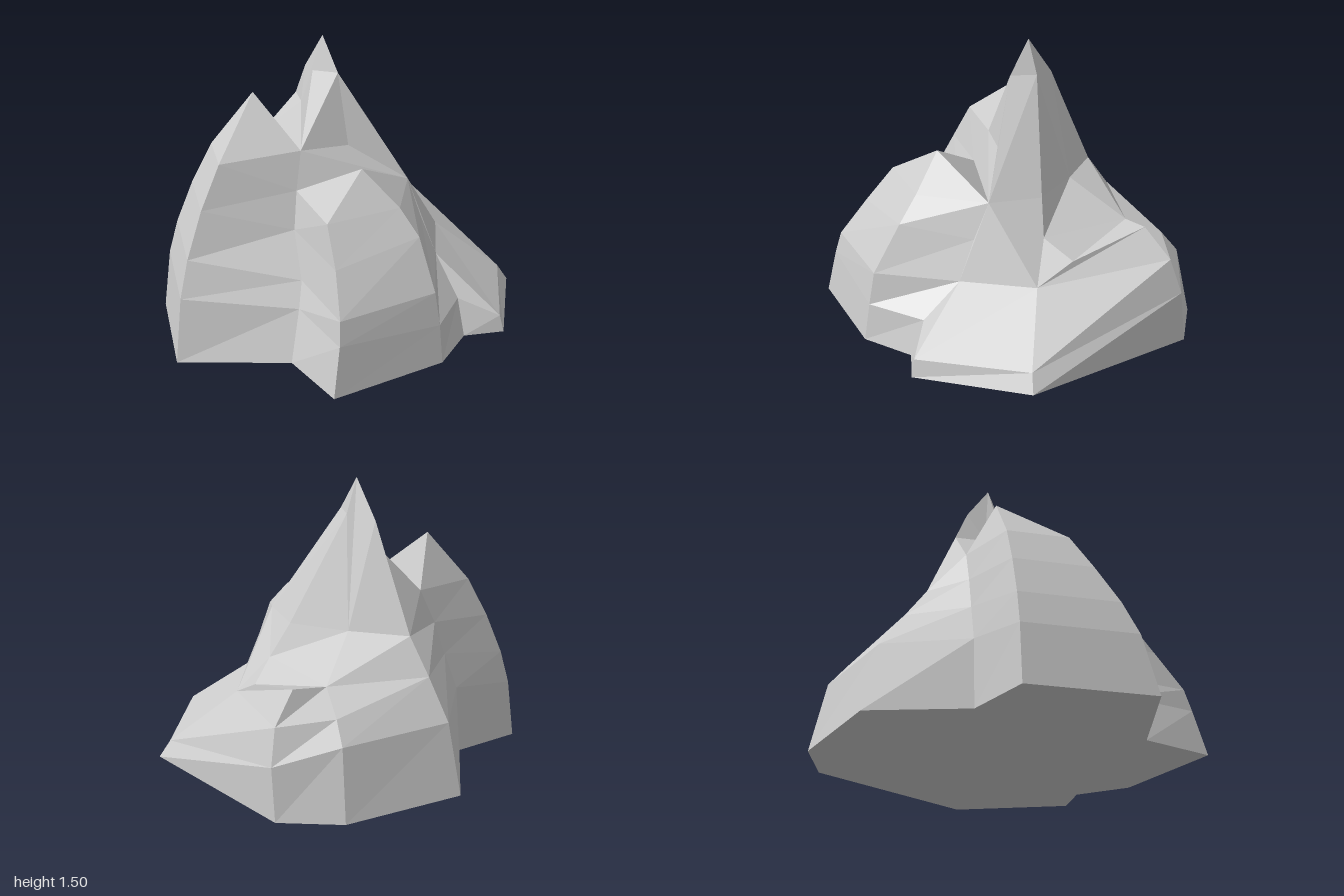
import * as THREE from 'three';

// Shared corner points where the rock faces meet
const P = {
  summit: [-0.09, 1.5, -0.13],
  summitLeft: [-0.15, 1.32, -0.1],
  summitRight: [-0.03, 1.32, -0.03],
  summitEast: [-0.03, 1.32, -0.17],
  finTop: [-0.46, 1.2, -0.17],
  saddleFront: [-0.25, 0.94, 0.07],
  saddleBack: [-0.39, 0.93, -0.31],
  notch: [-0.2, 1.13, -0.17],
  ridgeHigh: [-0.16, 1.3, -0.26],
  ridgeMid: [-0.2, 1.13, -0.33],
  ridgeLow: [-0.29, 0.75, -0.49],
  peakFoot: [0.01, 0.94, 0.04],
  knollTop: [0.01, 0.93, 0.36],
  troughLeft: [-0.29, 0.75, 0.15],
  troughRight: [0.32, 0.75, 0.11],
  ledgeBack: [0, 0.75, -0.35],
  ledgeSide: [0.27, 0.75, -0.17],
  step: [0.38, 0.57, -0.17],
  shoulderInner: [0.17, 0.57, -0.63],
  shoulderTop: [0.35, 0.6, -0.7],
  shoulderSide: [0.48, 0.48, -0.31],
  fold: [0.44, 0.37, 0.27],
  spurTop: [0.55, 0.37, -0.12],
};

// Ridge and valley lines, each running from the ground upward
const finCurve = [[-0.98, 0], [-0.94, 0.32], [-0.89, 0.5], [-0.8, 0.72], [-0.69, 0.93]];
const finDepth = [0.48, 0.41, 0.34, 0.24, 0.15];
const finBack = [...finCurve.map(([x, y]) => [x, y, -0.17]), P.finTop];
const finFront = [...finCurve.map(([x, y], i) => [x, y, finDepth[i]]), P.finTop];
const gully = [[-0.41, 0, 0.61], [-0.35, 0.25, 0.51], [-0.32, 0.37, 0.43], [-0.32, 0.57, 0.24], P.troughLeft];
const knollLeft = [[-0.27, 0, 0.99], [-0.23, 0.25, 0.935], [-0.22, 0.37, 0.9], [-0.21, 0.57, 0.75], [-0.22, 0.75, 0.6], P.knollTop];
const knollRight = [[0.34, 0, 0.77], [0.33, 0.2, 0.74], [0.31, 0.37, 0.71], [0.26, 0.62, 0.57], [0.18, 0.75, 0.48], P.knollTop];
const crease = [[0.53, 0, 0.53], [0.51, 0.19, 0.46], P.fold];
const spurFront = [[0.75, 0, 0.53], [0.73, 0.09, 0.515], P.fold];
const spurSide = [[0.97, 0, -0.06], [0.91, 0.09, -0.06], P.spurTop];
const shoulderRidge = [[0.48, 0, -0.91], [0.49, 0.28, -0.88], [0.46, 0.46, -0.82]];
const backRidge = [[0.15, 0, -1], [0.15, 0.37, -0.92], [0.16, 0.48, -0.83]];
const peakRidge = [[-0.48, 0, -0.82], [-0.43, 0.37, -0.74], [-0.36, 0.57, -0.61], P.ridgeLow, P.ridgeMid];
const backGully = [[-0.63, 0, -0.31], [-0.6, 0.37, -0.31], [-0.53, 0.57, -0.31], [-0.47, 0.75, -0.31], P.saddleBack];

// Fan of triangles over named corner points, or raw points
const fan = (...corners) => {
  const p = corners.map(c => (typeof c === 'string' ? P[c] : c));
  const tris = [];
  for (let i = 1; i < p.length - 1; i++) tris.push([p[0], p[i], p[i + 1]]);
  return tris;
};

// Wall between two neighbouring ridge lines
const wall = (a, b) => {
  const tris = [];
  for (let i = 0; i < a.length - 1; i++) {
    tris.push([a[i], b[i], b[i + 1]], [a[i], b[i + 1], a[i + 1]]);
  }
  return tris.filter(([p, q, r]) => p !== q && q !== r && r !== p);
};

export function createModel() {
  const group = new THREE.Group();
  group.name = 'rockFormation';
  const material = new THREE.MeshStandardMaterial({ color: 0xcccccc, flatShading: true });

  const addPart = (name, ...pieces) => {
    const geometry = new THREE.BufferGeometry();
    geometry.setAttribute('position', new THREE.Float32BufferAttribute(pieces.flat(3), 3));
    geometry.computeVertexNormals();
    const mesh = new THREE.Mesh(geometry, material);
    mesh.name = name;
    group.add(mesh);
  };

  // Tall curved fin on the side
  addPart('sideFin',
    wall(finBack, finFront),
    wall(finFront, [...gully, P.saddleFront]),
    wall([...backGully, P.saddleBack], finBack),
    fan('saddleBack', 'finTop', 'saddleFront'));

  // Central pointed peak
  addPart('mainPeak',
    fan('saddleBack', 'saddleFront', 'notch'),
    fan('saddleBack', 'notch', 'ridgeMid'),
    fan('notch', 'summit', 'ridgeHigh', 'ridgeMid'),
    fan('notch', 'saddleFront', 'summitLeft', 'summit'),
    fan('saddleFront', 'peakFoot', 'summitRight', 'summitLeft'),
    fan('summitLeft', 'summitRight', 'summit'),
    fan('troughRight', 'ledgeSide', 'summitEast', 'summitRight', 'peakFoot'),
    fan('summitRight', 'summitEast', 'summit'),
    fan('ledgeBack', 'ridgeLow', 'ridgeMid', 'ridgeHigh', 'summit', 'summitEast', 'ledgeSide'),
    wall(peakRidge, backGully));

  // Rounded knoll at the front with the trough behind it
  addPart('frontKnoll',
    wall([...gully, P.troughLeft], knollLeft),
    wall(knollLeft, knollRight),
    wall(knollRight, [...crease, [0.37, 0.57, 0.19], P.troughRight, P.troughRight]),
    fan('troughLeft', 'knollTop', 'troughRight'),
    fan('saddleFront', 'troughLeft', 'troughRight', 'peakFoot'));

  // Low spur sloping down to the side
  addPart('sideSpur',
    wall(crease, spurFront),
    wall(spurFront, spurSide),
    fan('troughRight', [0.37, 0.57, 0.19], 'fold', 'spurTop', 'step'),
    fan('troughRight', 'step', 'ledgeSide'),
    fan('spurTop', 'shoulderSide', 'step'));

  // Broad shoulder at the back
  addPart('backShoulder',
    wall(spurSide, shoulderRidge),
    wall(shoulderRidge, backRidge),
    wall(backRidge, peakRidge.slice(0, 3)),
    fan('spurTop', shoulderRidge[2], 'shoulderTop', 'shoulderSide'),
    fan(shoulderRidge[2], backRidge[2], 'shoulderInner', 'shoulderTop'),
    fan('shoulderInner', backRidge[2], peakRidge[2], 'ridgeLow', 'ledgeBack'),
    fan('shoulderInner', 'ledgeBack', 'step'),
    fan('shoulderInner', 'step', 'shoulderSide', 'shoulderTop'),
    fan('ledgeBack', 'ledgeSide', 'step'));

  // Flat underside
  const outline = [finBack, finFront, gully, knollLeft, knollRight, crease, spurFront,
    spurSide, shoulderRidge, backRidge, peakRidge, backGully].map(line => line[0]);
  addPart('underside', outline.map((p, i) => [[0, 0, 0], outline[(i + 1) % outline.length], p]));

  return group;
}
